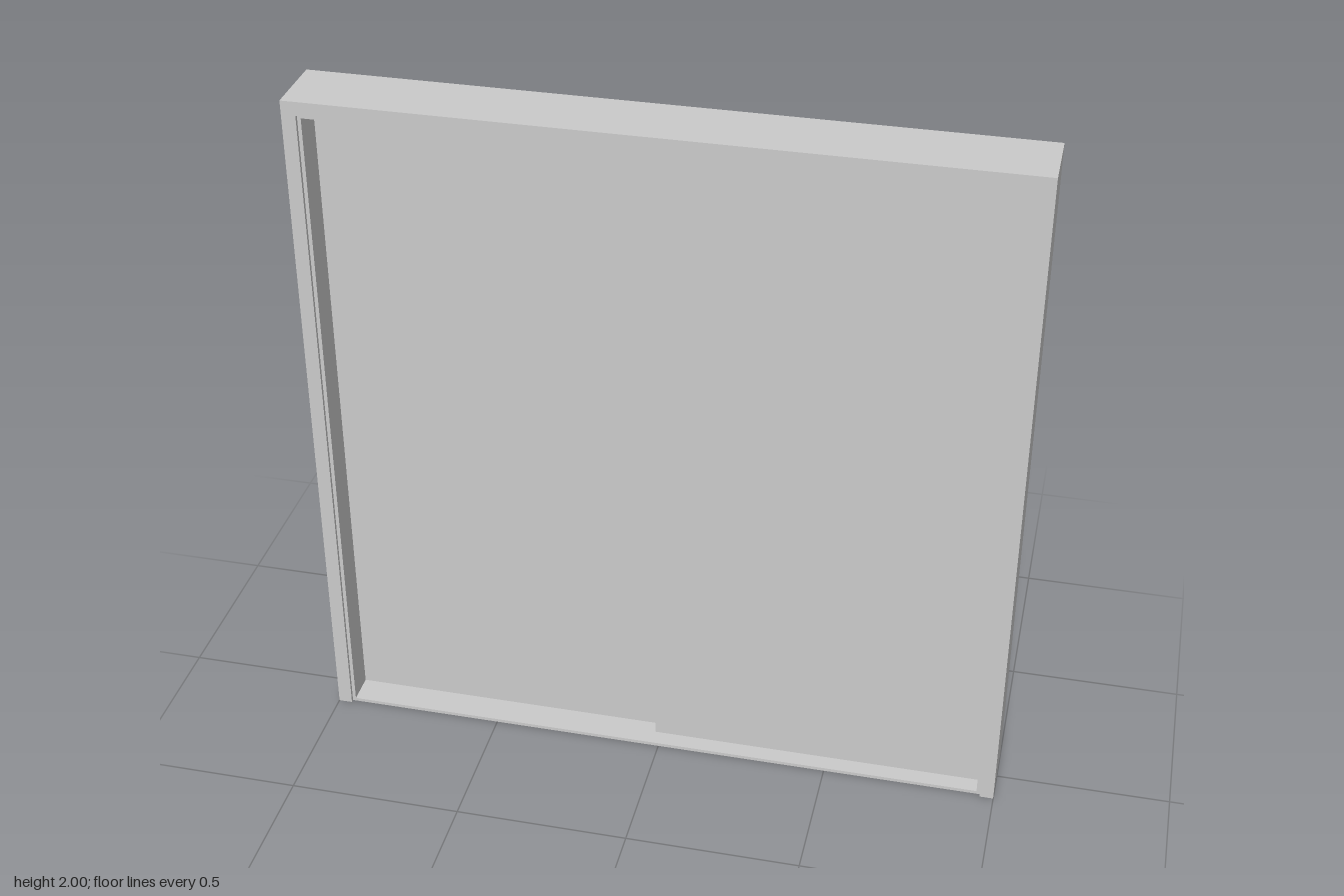
import * as THREE from 'three';

const material = new THREE.MeshStandardMaterial({ color: 0xcccccc, flatShading: true });

// Upside-down U outline extruded along z, centred on z = 0
function portal(name, halfWidth, height, thickness, depth) {
  const inner = halfWidth - thickness;
  const shape = new THREE.Shape([
    [-halfWidth, 0], [-inner, 0], [-inner, height - thickness], [inner, height - thickness],
    [inner, 0], [halfWidth, 0], [halfWidth, height], [-halfWidth, height],
  ].map(([x, y]) => new THREE.Vector2(x, y)));
  const geometry = new THREE.ExtrudeGeometry(shape, { depth, bevelEnabled: false });
  geometry.translate(0, 0, -depth / 2);
  const mesh = new THREE.Mesh(geometry, material);
  mesh.name = name;
  return mesh;
}

// Box given by its minimum and maximum corners
function box(name, min, max) {
  const size = max.map((v, i) => v - min[i]);
  const mesh = new THREE.Mesh(new THREE.BoxGeometry(...size), material);
  mesh.position.set(...max.map((v, i) => (v + min[i]) / 2));
  mesh.name = name;
  return mesh;
}

export function createModel() {
  const group = new THREE.Group();
  group.name = 'slidingDoor';

  // Outer frame: two jambs and a head
  group.add(portal('outerFrame', 1, 2, 0.04, 0.2));

  // Thin liner set slightly back from both faces, closed by a sill
  group.add(portal('liner', 0.96, 1.96, 0.01, 0.18));
  group.add(box('sill', [-0.95, 0, -0.09], [0.95, 0.01, 0.09]));

  // Two door leaves on neighbouring tracks, overlapping in the middle
  group.add(box('frontLeaf', [-0.02, 0.01, 0], [0.95, 1.95, 0.04]));
  group.add(box('backLeaf', [-0.95, 0.01, -0.04], [0.02, 1.95, 0]));

  return group;
}
